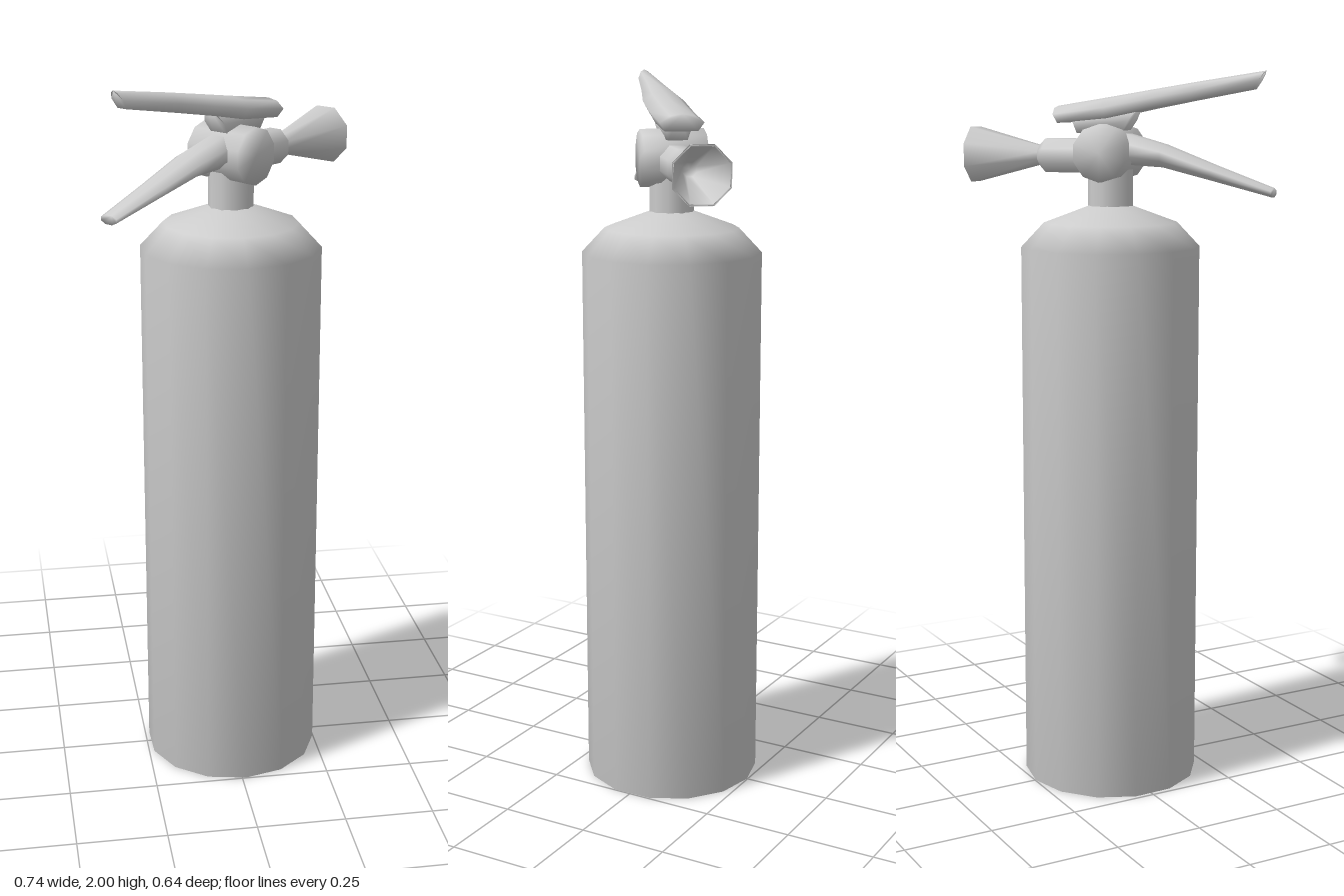
import * as THREE from 'three';

const material = new THREE.MeshStandardMaterial({ color: 0xcccccc });

function addMesh(parent, name, geometry) {
  const mesh = new THREE.Mesh(geometry, material);
  mesh.name = name;
  parent.add(mesh);
  return mesh;
}

// Turned part from [radius, height] pairs, listed from bottom to top
function turned(profile, sides, start = 0) {
  const points = profile.map(([r, y]) => new THREE.Vector2(r, y));
  return new THREE.LatheGeometry(points, sides, start);
}

// Smooth skin over rings of [x, y, z] points that follow each other along +x
function loft(rings) {
  const n = rings[0].length;
  const index = [];
  for (let i = 0; i < rings.length - 1; i++) {
    for (let j = 0; j < n; j++) {
      const a = i * n + j, b = i * n + (j + 1) % n;
      index.push(a, b, a + n, b, b + n, a + n);
    }
  }
  const last = (rings.length - 1) * n;
  for (let j = 1; j < n - 1; j++) {
    index.push(0, j + 1, j, last, last + j, last + j + 1);
  }
  const geometry = new THREE.BufferGeometry();
  geometry.setAttribute('position', new THREE.Float32BufferAttribute(rings.flat(2), 3));
  geometry.setIndex(index);
  geometry.computeVertexNormals();
  return geometry;
}

// Eight-sided oval ring for the carrying handle
function ovalRing([x, y, halfHeight, halfWidth]) {
  return Array.from({ length: 8 }, (_, j) => {
    const a = (j + 0.5) * Math.PI / 4;
    return [x, y + halfHeight * Math.cos(a) * 1.08, halfWidth * Math.sin(a) * 1.08];
  });
}

// Ring with a rounded back and a flat underside for the lever
function leverRing([xTop, top, xBottom, bottom, halfWidth]) {
  const outline = [[1, 0], [0.88, 0.55], [0.5, 1], [0, 0.75], [0, -0.75], [0.5, -1], [0.88, -0.55]];
  return outline.map(([t, w]) => [
    xBottom + (xTop - xBottom) * t,
    bottom + (top - bottom) * t,
    halfWidth * w,
  ]);
}

export function createModel() {
  const model = new THREE.Group();
  model.name = 'fireExtinguisher';

  // Everything is built along x, then turned diagonally
  const assembly = new THREE.Group();
  assembly.name = 'assembly';
  assembly.position.x = 0.005;
  assembly.rotation.y = THREE.MathUtils.degToRad(40);
  model.add(assembly);

  // Tank with flat base and sloping shoulder
  addMesh(assembly, 'tank', turned(
    [[0, 0], [0.248, 0], [0.248, 1.525], [0.185, 1.592], [0.06, 1.638], [0, 1.64]],
    14, Math.PI / 14));

  // Neck
  addMesh(assembly, 'neck', turned([[0.062, 1.62], [0.062, 1.76]], 10));

  // Valve drum lying across the neck
  const valve = addMesh(assembly, 'valve', turned(
    [[0, -0.088], [0.078, -0.088], [0.078, 0.088], [0, 0.088]], 10));
  valve.rotation.x = Math.PI / 2;
  valve.position.y = 1.782;

  // Outlet and discharge horn, both pointing along +x
  const outlet = addMesh(assembly, 'outlet', turned(
    [[0.05, 0], [0.05, 0.187], [0.026, 0.212], [0, 0.212]], 8, Math.PI / 8));
  const horn = addMesh(assembly, 'horn', turned(
    [[0.026, 0.2], [0.083, 0.411], [0.077, 0.411], [0.02, 0.25], [0, 0.25]], 8, Math.PI / 8));
  for (const part of [outlet, horn]) {
    part.rotation.z = -Math.PI / 2;
    part.position.y = 1.773;
  }

  // Fixed carrying handle: x, y, half height, half width
  addMesh(assembly, 'carryingHandle', loft([
    [-0.466, 1.682, 0.012, 0.027],
    [-0.3, 1.732, 0.021, 0.04],
    [-0.16, 1.775, 0.03, 0.052],
    [-0.05, 1.793, 0.042, 0.052],
    [0.02, 1.793, 0.042, 0.05],
  ].map(ovalRing)));

  // Squeeze lever: x and y of the back, x and y of the underside, half width
  addMesh(assembly, 'squeezeLever', loft([
    [-0.44, 2.0, -0.41, 1.952, 0.02],
    [-0.25, 1.972, -0.24, 1.922, 0.041],
    [-0.13, 1.953, -0.12, 1.9, 0.058],
    [0.0, 1.932, 0.0, 1.875, 0.06],
    [0.155, 1.908, 0.14, 1.862, 0.06],
  ].map(leverRing)));

  // Pivot bracket joining lever and valve
  addMesh(assembly, 'pivotBracket', loft([
    [-0.09, 1.91, -0.04, 1.83, 0.035],
    [0.11, 1.9, 0.09, 1.835, 0.035],
  ].map(leverRing)));

  return model;
}
